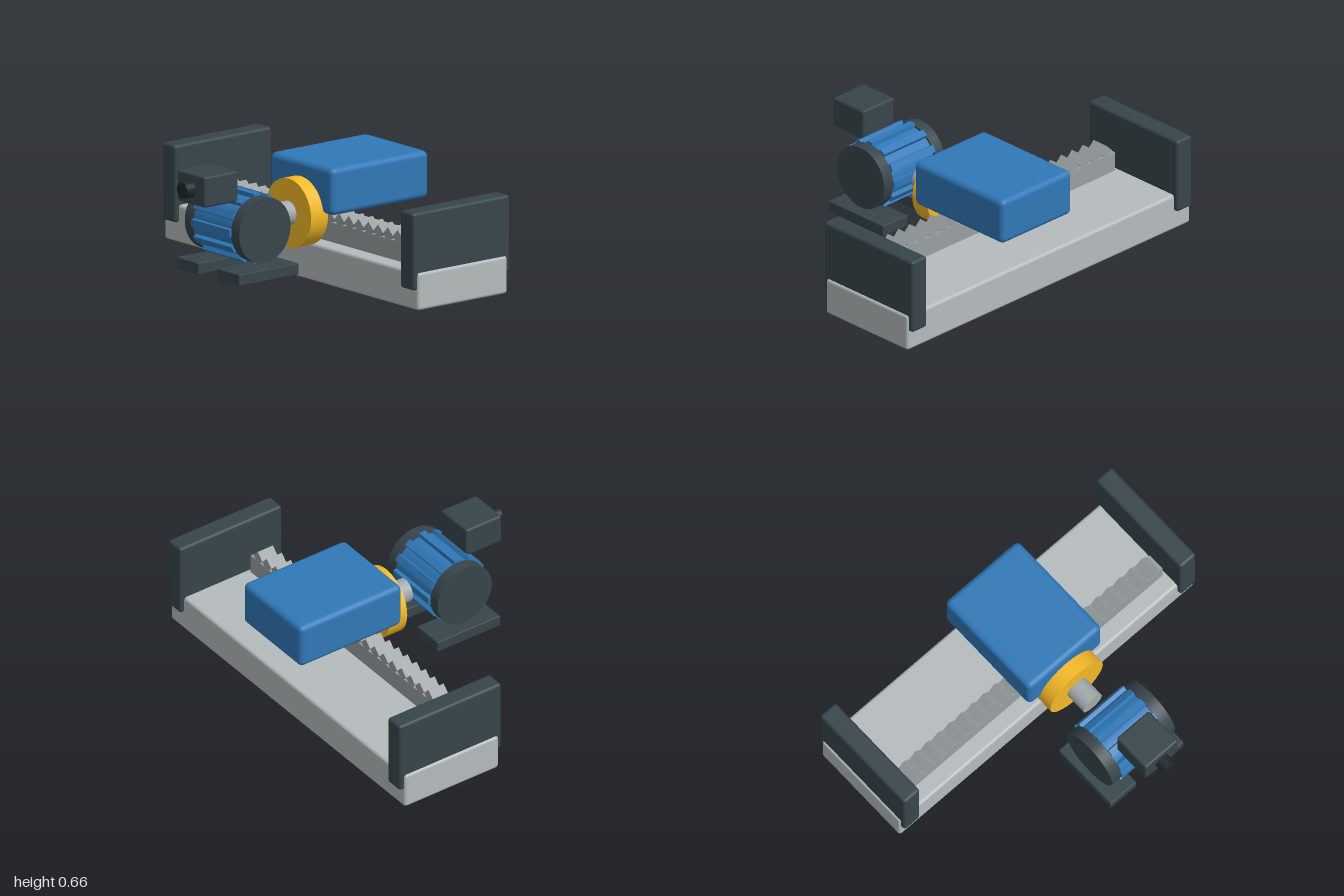
import * as THREE from 'three';
import { RoundedBoxGeometry } from 'three/addons/geometries/RoundedBoxGeometry.js';

const material = (color) => new THREE.MeshStandardMaterial({ color });
const paleGrey = material(0xb5bcbd);
const rackGrey = material(0x999fa1);
const steel = material(0xa3a9ac);
const dark = material(0x37454b);
const black = material(0x20272a);
const blue = material(0x2f78b8);
const yellow = material(0xf5b928);

const AXIS_X = 0.105; // shared centre line of carriage, pinion and motor
const AXIS_Y = 0.357;

export function createModel() {
  const model = new THREE.Group();
  model.name = 'rackAndPinionDrive';

  const add = (name, geometry, mat, parent = model) => {
    const mesh = new THREE.Mesh(geometry, mat);
    mesh.name = name;
    parent.add(mesh);
    return mesh;
  };

  // Box given by its [min, max] on each axis, with optional rounded edges
  const box = (name, mat, [x0, x1], [y0, y1], [z0, z1], radius = 0, parent = model) => {
    const size = [x1 - x0, y1 - y0, z1 - z0];
    const geometry = radius
      ? new RoundedBoxGeometry(...size, 3, radius)
      : new THREE.BoxGeometry(...size);
    const mesh = add(name, geometry, mat, parent);
    mesh.position.set((x0 + x1) / 2, (y0 + y1) / 2, (z0 + z1) / 2);
    return mesh;
  };

  // Cylinder lying along z between z0 and z1
  const cylinderZ = (name, mat, radius, y, z0, z1) => {
    const geometry = new THREE.CylinderGeometry(radius, radius, z1 - z0, 48).rotateX(Math.PI / 2);
    const mesh = add(name, geometry, mat);
    mesh.position.set(AXIS_X, y, (z0 + z1) / 2);
    return mesh;
  };

  // Bed and end plates
  box('bed', paleGrey, [-1, 1], [0, 0.195], [-0.68, -0.095], 0.016);
  for (const side of [-1, 1]) {
    const x = side * 0.937;
    box(side > 0 ? 'leftEndPlate' : 'rightEndPlate', dark,
      [x - 0.053, x + 0.053], [0.105, 0.505], [-0.705, -0.07], 0.016);
  }

  // Toothed rack: a bar with square teeth turned on edge
  const rack = new THREE.Group();
  rack.name = 'rack';
  model.add(rack);
  box('rackBar', rackGrey, [-0.865, 0.865], [0.18, 0.297], [-0.28, -0.185], 0, rack);
  const teeth = 22;
  const toothGeometry = new THREE.BoxGeometry(0.054, 0.054, 0.094).rotateZ(Math.PI / 4);
  for (let i = 0; i < teeth; i++) {
    const tooth = add('rackTooth', toothGeometry, rackGrey, rack);
    tooth.position.set(-0.805 + (1.61 * i) / (teeth - 1), 0.317, -0.2325);
  }

  // Carriage, pinion wheel and drive shaft
  box('carriage', blue, [-0.143, 0.353], [0.37, 0.615], [-0.705, -0.07], 0.03);
  cylinderZ('pinion', yellow, 0.178, AXIS_Y, -0.1, 0.01);
  cylinderZ('driveShaft', steel, 0.0625, AXIS_Y, -0.09, 0.13);

  // Motor lying along x: finned body between two end caps
  const motor = new THREE.Group();
  motor.name = 'motor';
  motor.position.set(AXIS_X, AXIS_Y, 0.342);
  model.add(motor);
  const cylinderX = (name, mat, radius, length, x) => {
    const geometry = new THREE.CylinderGeometry(radius, radius, length, 48).rotateZ(Math.PI / 2);
    add(name, geometry, mat, motor).position.x = x;
  };
  cylinderX('motorBody', blue, 0.158, 0.32, 0);
  for (const side of [-1, 1]) cylinderX('motorEndCap', dark, 0.168, 0.063, side * 0.1825);

  const finGeometry = new THREE.BoxGeometry(0.304, 0.034, 0.038).translate(0, 0.163, 0);
  for (let i = 0; i < 12; i++) {
    add('coolingFin', finGeometry, blue, motor).rotation.x = (i * Math.PI) / 6;
  }

  // Mounting feet
  for (const side of [-1, 1]) {
    const x = AXIS_X + side * 0.16;
    box('mountingFoot', dark, [x - 0.0875, x + 0.0875], [0.105, 0.165], [0.148, 0.538], 0.005);
  }

  // Terminal box with cable gland
  box('terminalBox', dark, [-0.005, 0.215], [0.5, 0.66], [0.428, 0.648], 0.012);
  cylinderZ('cableGland', black, 0.041, 0.58, 0.63, 0.705);

  return model;
}
